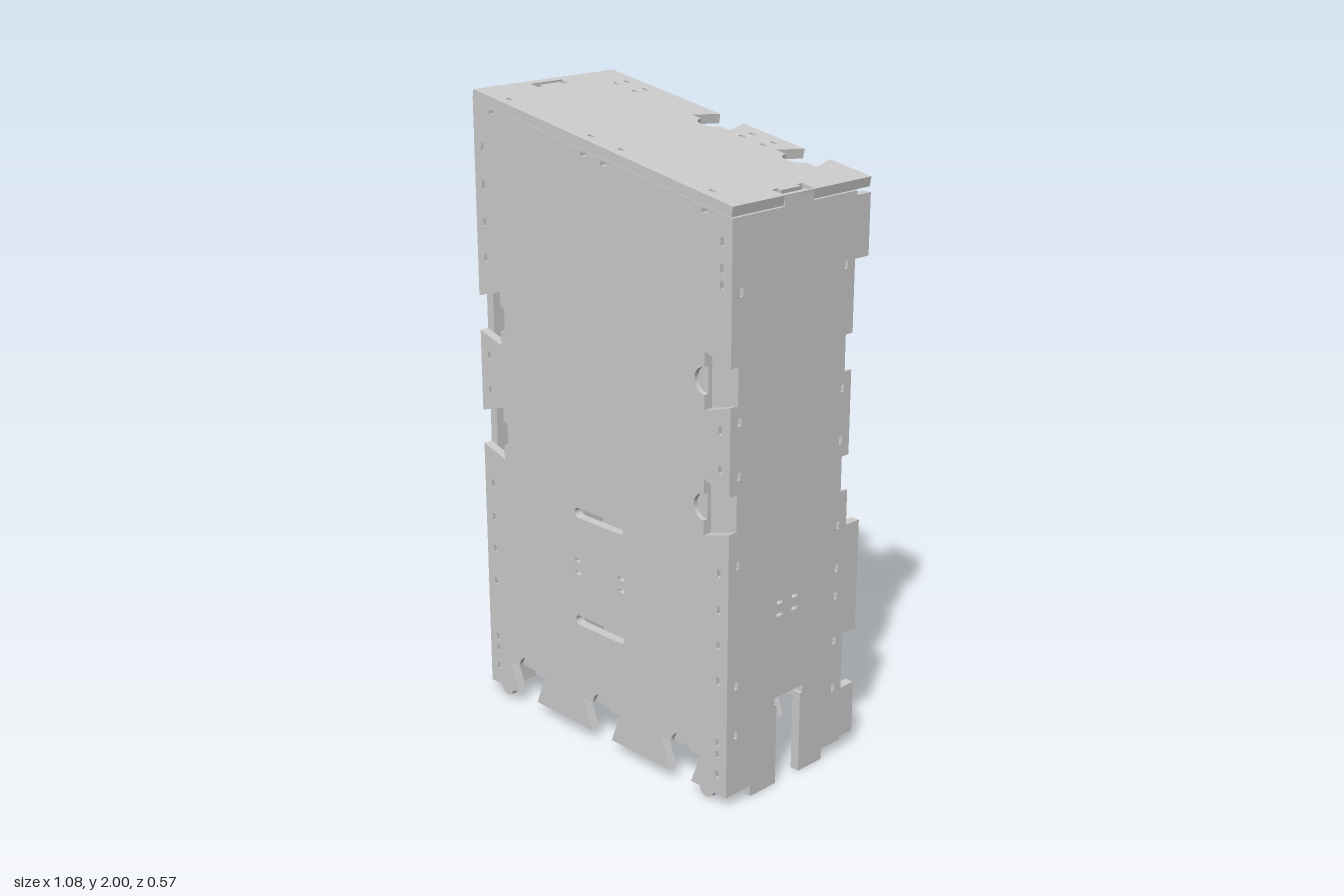
import * as THREE from 'three';

const T = 0.03;                                   // sheet thickness
const BASE = 0.035;                               // lower edge of front and back
const under = x => 1.874 - 0.176 * x;             // underside of the sloping roof
const TABS = {                                    // side tabs reaching past the back, [y0, y1]
  1: [[0.045, 0.215], [0.4, 0.76], [1.58, 1.765]],
  '-1': [[0.045, 0.215], [0.4, 0.76], [1.48, 1.85]],
};

// Edge features are lists of [distance along edge, depth into the sheet].
function dovetail(c, narrow, wide, depth, recess) {
  const pts = [[c - narrow, 0], [c - wide, depth]];
  if (recess) {
    for (let i = 0; i <= 14; i++) {
      const a = Math.PI * i / 14;
      pts.push([c - 0.04 * Math.cos(a), depth + 0.04 * Math.sin(a)]);
    }
  }
  pts.push([c + wide, depth], [c + narrow, 0]);
  return pts;
}
function foot(c) {
  const pts = [];
  for (let i = 0; i <= 10; i++) {
    const a = Math.PI * i / 10;
    pts.push([c - 0.028 * Math.cos(a), -0.026 * Math.sin(a)]);
  }
  return pts;
}
const notch = ([a, b]) => [[a, 0], [a, T], [b, T], [b, 0]];

const slot = (x, y, w = 0.013, h = 0.024) => [
  [x - w / 2, y - h / 2], [x + w / 2, y - h / 2], [x + w / 2, y + h / 2], [x - w / 2, y + h / 2]];

// Rounded handle slot
function longSlot(y) {
  const pts = [], r = 0.016;
  for (const [cx, start] of [[0.09, -Math.PI / 2], [-0.095, Math.PI / 2]]) {
    for (let i = 0; i <= 8; i++) {
      const a = start + Math.PI * i / 8;
      pts.push([cx + r * Math.cos(a), y + r * Math.sin(a)]);
    }
  }
  return pts;
}

const vecs = pts => pts.map(([x, y]) => new THREE.Vector2(x, y));
function sheet(outline, holes, depth) {
  const shape = new THREE.Shape(vecs(outline));
  shape.holes = holes.map(h => new THREE.Path(vecs(h)));
  return new THREE.ExtrudeGeometry(shape, { depth, bevelEnabled: false });
}

// Outline of the front or back sheet
function wallOutline(recess, isBack) {
  const bottom = [
    ...foot(-0.46),
    ...[-0.355, 0, 0.35].flatMap(c => dovetail(c, 0.045, 0.085, 0.1, recess)),
    ...foot(0.46)];
  const edge = side => {
    const parts = [0.93, 1.305].map(c => dovetail(c, 0.056, 0.085, 0.1, recess));
    if (isBack) parts.push(...TABS[side].map(notch));
    return parts.sort((a, b) => a[0][0] - b[0][0]).flat().map(([s, d]) => [side * (0.54 - d), s]);
  };
  return [
    [-0.54, BASE], ...bottom.map(([s, d]) => [s, BASE + d]), [0.54, BASE],
    ...edge(1), [0.54, under(0.54)], [-0.54, under(-0.54)], ...edge(-1).reverse()];
}

function wallHoles(isBack) {
  const holes = [];
  const shared = [1.175, 1.06, 0.745, 0.63, 0.52, 0.405, 0.205, 0.165, 0.1];
  for (const y of [1.83, 1.715, 1.6, 1.49, ...shared]) holes.push(slot(-0.502, y));
  for (const y of [1.71, 1.635, 1.59, ...shared]) holes.push(slot(0.502, y));
  for (const x of [-0.455, -0.05, 0.035, 0.435]) holes.push(slot(x, under(x) - 0.014, 0.024, 0.013));
  for (const x of [-0.1, 0.095]) for (const y of [0.56, 0.6]) holes.push(slot(x, y, 0.026, 0.011));
  if (!isBack) holes.push(longSlot(0.4), longSlot(0.76));
  return holes;
}

// Side sheet drawn in (z, y)
function sideOutline(side) {
  const top = under(side * (side > 0 ? 0.54 : 0.51));
  const pts = [
    [-0.195, BASE], [-0.14, BASE], [-0.14, 0], [-0.035, 0], [-0.035, 0.265], [-0.045, 0.265],
    [-0.045, 0.29], [0.08, 0.29], [0.08, 0.265], [0.07, 0.265], [0.07, 0], [0.18, 0], [0.18, BASE],
    [0.255, BASE], [0.255, top], [0.08, top], [0.08, top + 0.028], [-0.04, top + 0.028],
    [-0.04, top], [-0.195, top]];
  for (const [a, b] of [...TABS[side]].reverse()) pts.push([-0.195, b], [-0.285, b], [-0.285, a], [-0.195, a]);
  return pts;
}

function sideHoles(side) {
  const ys = [1.57, 1.2, 1.04, 0.77, 0.39, 0.23];
  const holes = [
    ...ys.map(y => slot(0.247, y)),
    ...[...ys, 0.63, 0.54].map(y => slot(-0.187, y))];
  for (const z of [0, 0.065]) for (const y of [0.56, 0.6]) holes.push(slot(z, y, 0.026, 0.011));
  if (side < 0) holes.push(slot(0.03, 1.63, 0.08, 0.05));
  return holes;
}

// Roof sheet drawn in (distance along slope, -z)
function roofOutline(recess) {
  const back = [-0.01, 0.338].flatMap(c => dovetail(c, 0.05, 0.08, 0.092, recess));
  return [[-0.546, -0.285], [0.546, -0.285], [0.546, 0.285],
    ...back.map(([s, d]) => [s, 0.285 - d]).reverse(), [-0.546, 0.285]];
}

function roofHoles() {
  const holes = [];
  for (const x of [-0.425, -0.34, 0.125, 0.21]) for (const v of [0.19, 0.235]) holes.push(slot(x, v, 0.022, 0.013));
  for (const x of [-0.425, -0.06, 0.068, 0.432]) holes.push(slot(x, -0.245, 0.022, 0.013));
  // mortises with relieved inner corners
  for (const [o, i, e] of [[0.54, 0.512, 0.497], [-0.522, -0.503, -0.488]]) {
    holes.push([[o, -0.08], [e, -0.08], [e, -0.058], [i, -0.058], [i, 0.023], [e, 0.023], [e, 0.045], [o, 0.045]]);
  }
  return holes;
}

export function createModel() {
  const model = new THREE.Group();
  const material = new THREE.MeshStandardMaterial({ color: 0xcccccc, flatShading: true });
  const add = (parent, name, geometry) => {
    const mesh = new THREE.Mesh(geometry, material);
    mesh.name = name;
    parent.add(mesh);
    return mesh;
  };

  // Front and back: a plain inner layer and an outer layer with half-round recesses
  for (const isBack of [false, true]) {
    const wall = new THREE.Group();
    wall.name = isBack ? 'backPanel' : 'frontPanel';
    for (const outer of [false, true]) {
      const layer = add(wall, outer ? 'outerLayer' : 'innerLayer',
        sheet(wallOutline(outer, isBack), wallHoles(isBack), T / 2));
      layer.position.z = outer !== isBack ? T / 2 : 0;
    }
    wall.position.z = isBack ? -0.225 : 0.255;
    model.add(wall);
  }

  // Sides
  for (const side of [1, -1]) {
    const panel = add(model, side > 0 ? 'leftPanel' : 'rightPanel',
      sheet(sideOutline(side), sideHoles(side), T).rotateY(-Math.PI / 2));
    panel.position.x = side > 0 ? 0.54 : -0.51;
  }

  // Sloping roof
  const roof = new THREE.Group();
  roof.name = 'roof';
  for (const outer of [false, true]) {
    const layer = add(roof, outer ? 'outerLayer' : 'innerLayer',
      sheet(roofOutline(outer), roofHoles(), T / 2).rotateX(-Math.PI / 2));
    layer.position.y = outer ? T / 2 : 0;
  }
  roof.position.set(-0.003, 1.8755, 0);
  roof.rotation.z = -Math.atan(0.176);
  model.add(roof);

  return model;
}
